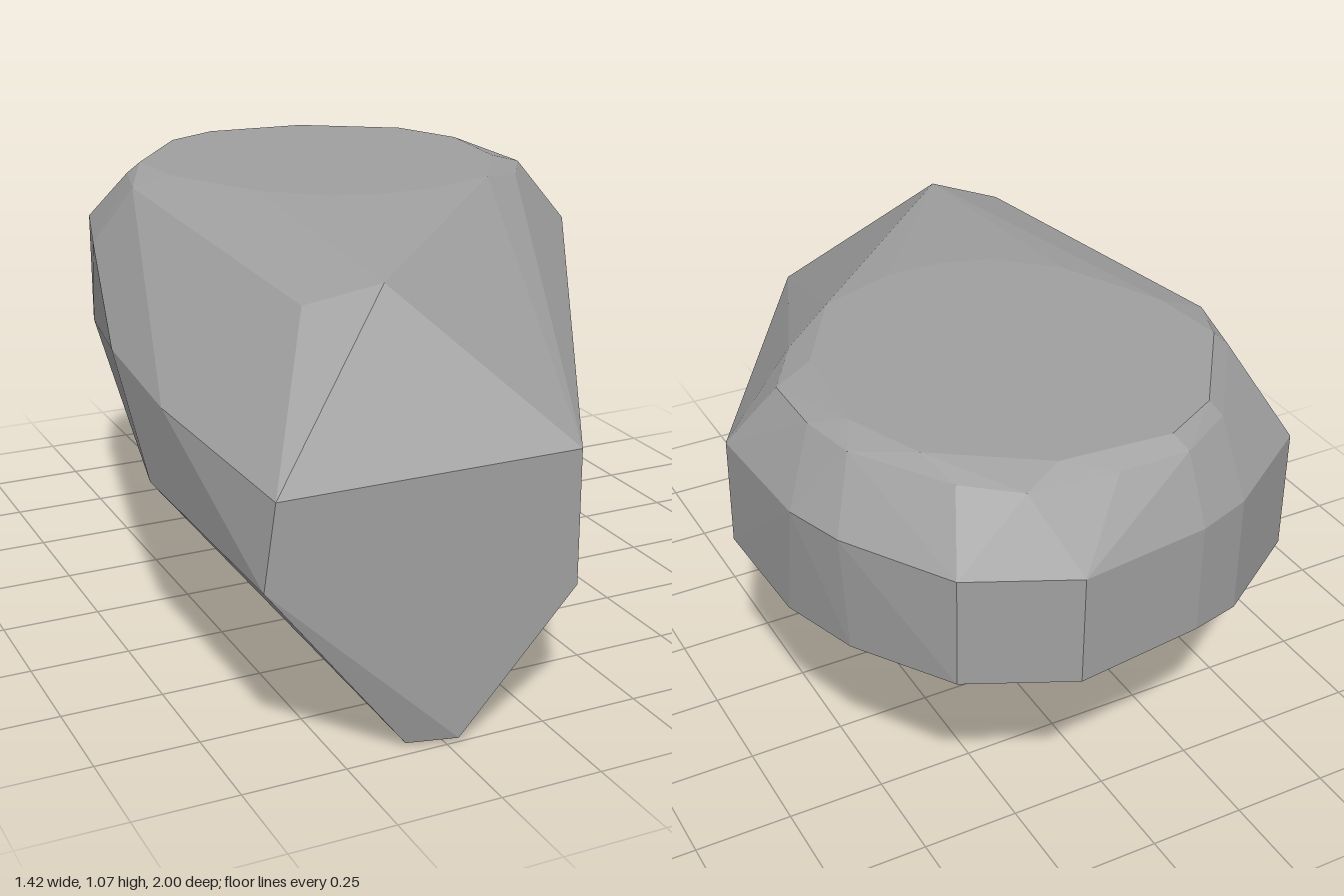
import * as THREE from 'three';
import { ConvexGeometry } from 'three/addons/geometries/ConvexGeometry.js';

// Places a ring of [x, z] points at one height
const ring = (y, pts) => pts.map(([x, z]) => new THREE.Vector3(x, y, z));
const points = (list) => list.map((p) => new THREE.Vector3(...p));

export function createModel() {
  const group = new THREE.Group();
  group.name = 'boulder';
  const stone = new THREE.MeshStandardMaterial({ color: 0xa0a0a0, flatShading: true });
  stone.name = 'grey stone';

  // Flat rounded top
  const top = ring(1.07, [
    [0.35, 0.07], [0.15, 0.14], [0, 0.14], [-0.13, 0.1], [-0.27, -0.03], [-0.4, -0.3], [-0.42, -0.5],
    [-0.23, -0.76], [-0.08, -0.84], [0.2, -0.82], [0.45, -0.65], [0.53, -0.45], [0.5, -0.17],
  ]);

  // Worn rim just below the top
  const rim = ring(1.04, [
    [-0.5, -0.33], [-0.45, -0.52], [-0.25, -0.79], [-0.1, -0.88], [0.08, -0.88], [0.3, -0.86],
    [0.42, -0.76], [0.57, -0.53], [0.6, -0.38], [0.6, -0.2], [0.5, -0.04],
  ]);

  // Upper edge of the steep wall round the back
  const shoulder = ring(0.88, [
    [0.71, -0.13], [0.69, -0.47], [0.64, -0.62], [0.48, -0.88], [0.23, -1],
    [-0.1, -0.96], [-0.24, -0.91], [-0.5, -0.73], [-0.59, -0.41],
  ]);

  // Lower edge of the wall
  const belt = points([
    [0.71, 0.6, -0.13], [0.68, 0.56, -0.4], [0.62, 0.575, -0.62], [0.48, 0.6, -0.88], [0.23, 0.6, -1],
    [-0.1, 0.6, -0.96], [-0.24, 0.58, -0.91], [-0.5, 0.57, -0.73],
  ]);

  // Cut front face, sloping nose and bulging flank
  const nose = points([
    [-0.66, 0.66, 1], [0.08, 0.66, 1], [0.08, 0.33, 1], [-0.22, 0.01, 1], [-0.69, 0.46, 1],
    [-0.27, 1.01, 0.71], [-0.44, 0.96, 0.64],
    [-0.71, 0.7, 0.45], [-0.7, 0.71, 0.26], [-0.69, 0.72, 0.03], [-0.7, 0.47, 0.32],
  ]);

  // Narrow keel it stands on
  const keel = points([
    [-0.34, 0.01, 0.97], [-0.24, 0, 0.55], [-0.26, 0.003, 0.35], [-0.23, 0.02, -0.13], [-0.25, 0.05, -0.34],
  ]);

  const rock = new THREE.Mesh(
    new ConvexGeometry([...top, ...rim, ...shoulder, ...belt, ...nose, ...keel]), stone);
  rock.name = 'rock';
  group.add(rock);
  return group;
}
